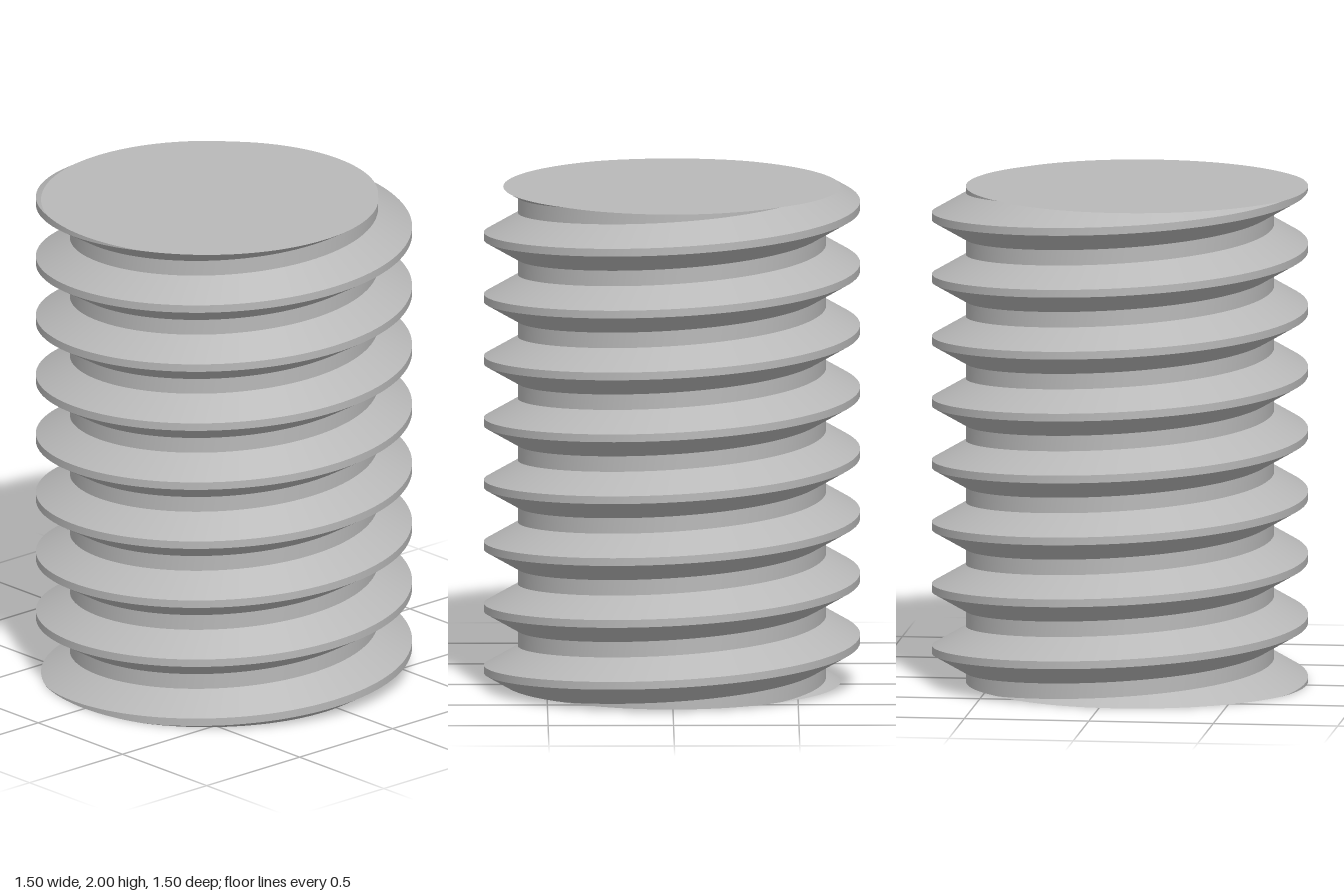
import * as THREE from 'three';

const HEIGHT = 2;
const PITCH = 0.25;
const CREST_R = 0.75;
const ROOT_R = 0.6147;
const SEGMENTS = 120; // per turn

// Thread profile edges in fractions of the pitch, measured from the crest's middle
const CREST = 1 / 16, ROOT = 3 / 8;

// Radius at a height of u pitches from a crest's middle
function threadRadius(u) {
  const d = Math.abs(u - Math.round(u));
  const k = THREE.MathUtils.clamp((d - CREST) / (ROOT - CREST), 0, 1);
  return THREE.MathUtils.lerp(CREST_R, ROOT_R, k);
}

// Point on the thread surface at a given turn and height
function threadPoint(turn, y) {
  const r = threadRadius(y / PITCH - turn);
  const a = turn * Math.PI * 2;
  return [-r * Math.cos(a), y, r * Math.sin(a)];
}

function makeGeometry(positions, index) {
  const g = new THREE.BufferGeometry();
  g.setAttribute('position', new THREE.Float32BufferAttribute(positions, 3));
  g.setIndex(index);
  g.computeVertexNormals();
  return g;
}

// Helical ribbon between two profile edges, cut off flat at both ends of the rod
function ribbon(lo, hi) {
  const positions = [], index = [], heights = [];
  const turns = HEIGHT / PITCH;
  const count = (turns + 2) * SEGMENTS;
  for (let i = 0; i <= count; i++) {
    const turn = i / SEGMENTS - 1;
    const ys = [lo, hi].map((e) => THREE.MathUtils.clamp((turn + e) * PITCH, 0, HEIGHT));
    heights.push(ys[1] - ys[0]);
    ys.forEach((y) => positions.push(...threadPoint(turn, y)));
    if (i === 0) continue;
    const a = 2 * (i - 1), b = 2 * i;
    if (heights[i - 1] > 1e-6) index.push(a, b + 1, a + 1);
    if (heights[i] > 1e-6) index.push(a, b, b + 1);
  }
  return makeGeometry(positions, index);
}

// Flat end following the thread's cross-section
function endCap(y, up) {
  const positions = [0, y, 0], index = [];
  for (let i = 0; i < SEGMENTS; i++) {
    positions.push(...threadPoint(i / SEGMENTS, y));
    const a = i + 1, b = ((i + 1) % SEGMENTS) + 1;
    index.push(0, up ? a : b, up ? b : a);
  }
  return makeGeometry(positions, index);
}

export function createModel() {
  const group = new THREE.Group();
  group.name = 'threadedRod';
  const steel = new THREE.MeshStandardMaterial({ color: 0xb8b8b8 });
  steel.name = 'steel grey';

  const add = (name, geometry) => {
    const mesh = new THREE.Mesh(geometry, steel);
    mesh.name = name;
    group.add(mesh);
  };

  // Thread surfaces
  add('threadCrest', ribbon(-CREST, CREST));
  add('threadUpperFlank', ribbon(CREST, ROOT));
  add('threadRoot', ribbon(ROOT, 1 - ROOT));
  add('threadLowerFlank', ribbon(-ROOT, -CREST));

  // Flat ends
  add('topEnd', endCap(HEIGHT, true));
  add('bottomEnd', endCap(0, false));
  return group;
}
